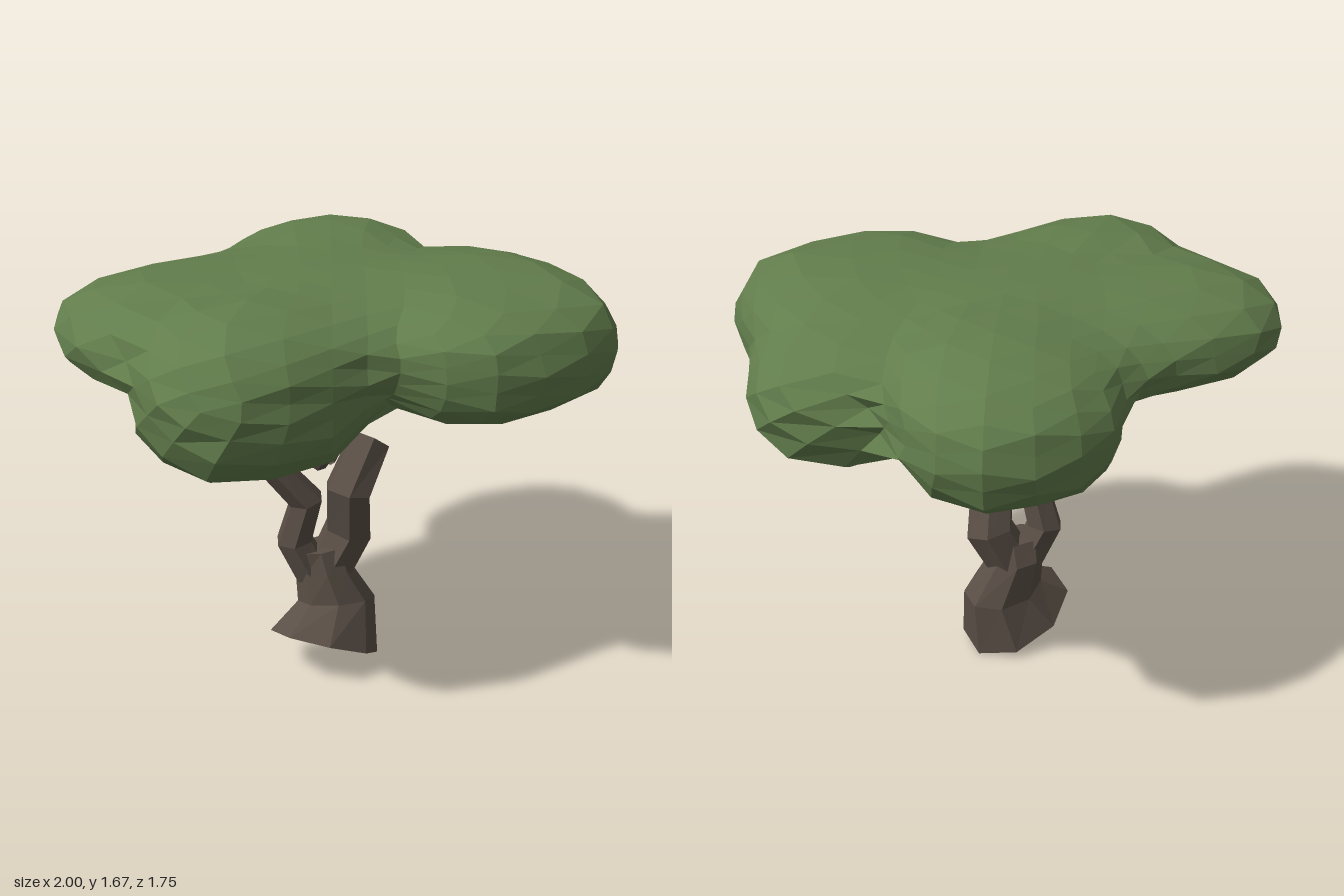
import * as THREE from 'three';

const foliage = new THREE.MeshStandardMaterial({ name: 'leafGreen', color: 0x627d4c, flatShading: true });
const bark = new THREE.MeshStandardMaterial({ name: 'barkBrown', color: 0x5a4f46, flatShading: true, side: THREE.DoubleSide });

// Skin equal-sized rings of points (bottom to top), open below and capped on top
function loft(rings, name) {
  const n = rings[0].length;
  const pos = [];
  const tri = (a, b, c) => pos.push(...a, ...b, ...c);
  const last = rings[rings.length - 1];
  const top = [0, 1, 2].map((k) => last.reduce((s, p) => s + p[k], 0) / n);
  for (let i = 0; i < n; i++) {
    const j = (i + 1) % n;
    for (let r = 0; r < rings.length - 1; r++) {
      const lo = rings[r], hi = rings[r + 1];
      tri(lo[i], hi[i], lo[j]);
      tri(lo[j], hi[i], hi[j]);
    }
    tri(top, last[j], last[i]);
  }
  const geo = new THREE.BufferGeometry();
  geo.setAttribute('position', new THREE.Float32BufferAttribute(pos, 3));
  geo.computeVertexNormals();
  const mesh = new THREE.Mesh(geo, bark);
  mesh.name = name;
  return mesh;
}

// Eight-sided trunk ring, sloped along x and z
function trunkRing(center, rx, rz, slopeX, slopeZ) {
  return Array.from({ length: 8 }, (_, i) => {
    const a = ((i + 0.5) / 8) * Math.PI * 2;
    const dx = (rx * Math.cos(a)) / Math.cos(Math.PI / 8);
    const dz = (rz * Math.sin(a)) / Math.cos(Math.PI / 8);
    return [center[0] + dx, center[1] + slopeX * dx + slopeZ * dz, center[2] + dz];
  });
}

// Faceted limb along a path of [x, y, z, radius]
function limb(path, name, sides = 6) {
  const pts = path.map((p) => new THREE.Vector3(p[0], p[1], p[2]));
  const rings = path.map((p, k) => {
    const t = new THREE.Vector3();
    if (k > 0) t.add(pts[k].clone().sub(pts[k - 1]).normalize());
    if (k < pts.length - 1) t.add(pts[k + 1].clone().sub(pts[k]).normalize());
    t.normalize();
    const u = new THREE.Vector3().crossVectors(t, new THREE.Vector3(0, 0, 1)).normalize();
    const v = new THREE.Vector3().crossVectors(u, t);
    return Array.from({ length: sides }, (_, i) => {
      const a = (i / sides) * Math.PI * 2;
      return pts[k].clone()
        .addScaledVector(u, p[3] * Math.cos(a))
        .addScaledVector(v, p[3] * Math.sin(a)).toArray();
    });
  });
  return loft(rings, name);
}

// Leaf clumps that melt together: center, radii, boxiness, tilt about x
const clumps = [
  { c: [.385, 1.41, .38], r: [.48, .25, .485], power: 2.8, tilt: 0 },   // front left
  { c: [.61, 1.33, .03], r: [.39, .255, .32], power: 2.3, tilt: 0 },    // left
  { c: [.25, 1.385, -.46], r: [.41, .27, .405], power: 2.4, tilt: -.2 }, // back
  { c: [-.53, 1.45, -.2], r: [.47, .19, .4], power: 2.3, tilt: 0 },     // back right
  { c: [-.5, 1.345, .28], r: [.43, .31, .345], power: 2.5, tilt: 0 },   // front right
  { c: [-.02, 1.46, -.01], r: [.6, .19, .62], power: 2.4, tilt: 0 },    // upper middle
  { c: [0, 1.37, -.1], r: [.5, .2, .36], power: 2.4, tilt: 0 },         // lower middle
].map(({ c, r, power, tilt }) => ({
  center: new THREE.Vector3(...c),
  radii: new THREE.Vector3(...r),
  power,
  unturn: new THREE.Quaternion().setFromAxisAngle(new THREE.Vector3(1, 0, 0), -tilt),
}));

// Above 1 inside the crown, below 1 outside
function crownField(point) {
  const q = new THREE.Vector3();
  return clumps.reduce((sum, { center, radii, power, unturn }) => {
    q.copy(point).sub(center).applyQuaternion(unturn).divide(radii);
    const norm = (Math.abs(q.x) ** power + Math.abs(q.y) ** power + Math.abs(q.z) ** power) ** (1 / power);
    return sum + Math.exp(-14 * (norm - 1));
  }, 0);
}

// One faceted skin: push a flattened ball outward onto the melted clumps
function crown() {
  const geo = new THREE.IcosahedronGeometry(1, 5);
  const p = geo.attributes.position;
  const center = new THREE.Vector3(0, 1.41, 0);
  const ray = new THREE.Vector3();
  const point = new THREE.Vector3();
  for (let i = 0; i < p.count; i++) {
    ray.fromBufferAttribute(p, i).normalize();
    const bump = Math.sin(ray.x * 17 + 1) * Math.sin(ray.y * 13 + 2) * Math.sin(ray.z * 19 + 3);
    ray.multiply(new THREE.Vector3(1, .38, 1));
    const reach = (t) => crownField(point.copy(center).addScaledVector(ray, t));
    let t = 1.6;
    while (t > .1 && reach(t) < 1) t -= .02;
    let inner = t, outer = t + .02;
    for (let k = 0; k < 10; k++) {
      const mid = (inner + outer) / 2;
      if (reach(mid) < 1) outer = mid; else inner = mid;
    }
    point.copy(center).addScaledVector(ray, inner * (1.005 + .02 * bump));
    p.setXYZ(i, point.x, point.y, point.z);
  }
  geo.computeVertexNormals();
  const mesh = new THREE.Mesh(geo, foliage);
  mesh.name = 'crown';
  return mesh;
}

export function createModel() {
  const tree = new THREE.Group();
  tree.name = 'tree';

  // Flared trunk with a slanted foot
  tree.add(loft([
    trunkRing([-.085, .11, .085], .205, .175, -.45, .22),
    trunkRing([-.01, .27, .055], .15, .115, -.13, .22),
    trunkRing([-.055, .42, .03], .105, .1, -.05, 0),
    trunkRing([-.06, .51, .03], .12, .07, 0, 0),
  ], 'trunk'));

  // Forked limbs
  tree.add(limb([[-.035, .4, .035, .095], [.05, .56, .05, .1], [.015, .755, .1, .095], [.14, .925, .06, .085]], 'leftLimb'));
  tree.add(limb([[-.1, .4, .025, .075], [-.17, .55, 0, .075], [-.14, .73, .04, .07], [-.305, .935, 0, .055]], 'rightLimb'));

  // Upper branches reaching into the leaves
  tree.add(limb([[-.08, .9, .07, .05], [.06, 1.03, .01, .055], [.22, 1.2, -.07, .045]], 'leftBranch'));
  tree.add(limb([[-.1, .89, .07, .035], [-.2, 1.03, -.02, .045], [-.38, 1.24, -.18, .035]], 'rightBranch'));
  tree.add(limb([[-.11, .89, .08, .035], [-.12, 1.02, .18, .05], [-.12, 1.17, .3, .04], [-.14, 1.25, .38, .02]], 'frontBranch'));

  tree.add(crown());
  return tree;
}
